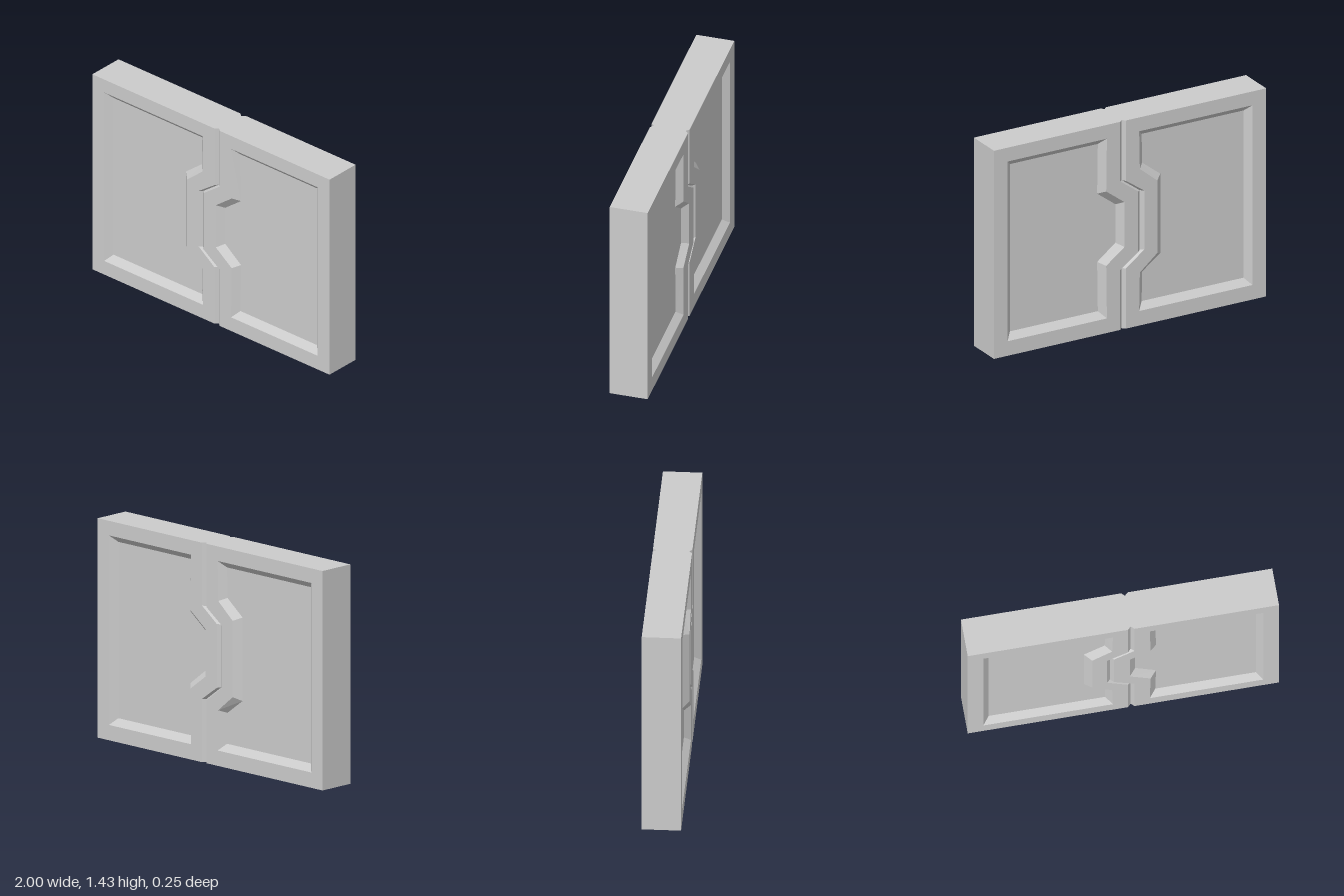
import * as THREE from 'three';

const H = 1.43;           // door height
const FACE = 0.125;       // half thickness
const FLOOR = 0.083;      // depth plane of the sunken panels
const GROOVE = 0.105;     // bottom of the V groove at the seam

// Zigzag edges, listed from top to bottom
const seam = [[0.05, H], [0.05, 1.018], [-0.083, 0.92], [-0.083, 0.512], [0.05, 0.413], [0.05, 0]];
const leaves = [
  {
    name: 'rightLeaf', side: -1,
    lip: [[0.03, H], [0.03, 1.015], [-0.105, 0.92], [-0.105, 0.515], [0.03, 0.413], [0.03, 0]],
    rim: [[-0.067, 1.335], [-0.072, 1.075], [-0.2, 0.968], [-0.2, 0.47], [-0.072, 0.363], [-0.067, 0.1]],
    floor: [[-0.11, 1.293], [-0.113, 1.095], [-0.247, 0.99], [-0.247, 0.446], [-0.113, 0.346], [-0.11, 0.144]],
  },
  {
    name: 'leftLeaf', side: 1,
    lip: [[0.072, H], [0.072, 1.02], [-0.06, 0.923], [-0.06, 0.507], [0.072, 0.413], [0.072, 0]],
    rim: [[0.17, 1.335], [0.175, 0.973], [0.041, 0.872], [0.041, 0.563], [0.175, 0.462], [0.17, 0.1]],
    floor: [[0.212, 1.293], [0.217, 0.952], [0.083, 0.851], [0.083, 0.587], [0.217, 0.483], [0.212, 0.144]],
  },
];

function buildLeaf({ name, side, lip, rim, floor }) {
  const positions = [];

  // Each triangle is added on the front and mirrored to the back
  const tri = (a, b, c) => {
    positions.push(...a, ...b, ...c);
    for (const [x, y, z] of [a, c, b]) positions.push(x, y, -z);
  };

  // Close a zigzag edge with the two corners on the hinge side, counter-clockwise
  const ring = (edge, x, bottom, top, z) => {
    const pts = [...edge, [side * x, bottom], [side * x, top]];
    if (side < 0) pts.reverse();
    return pts.map(([px, py]) => [px, py, z]);
  };

  // Band of quads between two matching rings
  const band = (a, b, keep = () => true) => a.forEach((p, i) => {
    const j = (i + 1) % a.length;
    if (!keep(a[i], a[j])) return;
    tri(p, b[i], a[j]);
    tri(a[j], b[i], b[j]);
  });

  // Flat face, optionally with a hole
  const cap = (outer, hole) => {
    const flat = (pts) => pts.map(([x, y]) => new THREE.Vector2(x, y));
    const all = hole ? [...outer, ...hole] : outer;
    const faces = THREE.ShapeUtils.triangulateShape(flat(outer), hole ? [flat(hole)] : []);
    for (const [a, b, c] of faces) tri(all[a], all[b], all[c]);
  };

  const outline = ring(lip, 1, 0, H, FACE);
  const grooveRing = ring(seam, 1, 0, H, GROOVE);
  const middle = ring(seam, 1, 0, H, 0);
  const rimRing = ring(rim, 0.9, 0.1, 1.335, FACE);
  const floorRing = ring(floor, 0.858, 0.144, 1.293, FLOOR);

  cap(outline, rimRing);          // raised frame
  band(floorRing, rimRing);       // sloped panel border
  cap(floorRing);                 // sunken panel
  band(outline, grooveRing);      // groove slope and rim of the outer walls
  // Outer walls; the leaves are joined at the seam
  const isOuter = (p) => Math.abs(p[0]) > 0.99;
  band(grooveRing, middle, (p, q) => isOuter(p) || isOuter(q));

  const geometry = new THREE.BufferGeometry();
  geometry.setAttribute('position', new THREE.Float32BufferAttribute(positions, 3));
  geometry.computeVertexNormals();
  const mesh = new THREE.Mesh(geometry, new THREE.MeshStandardMaterial({ color: 0xcccccc, flatShading: true }));
  mesh.name = name;
  return mesh;
}

export function createModel() {
  const group = new THREE.Group();
  group.name = 'doubleDoor';
  for (const leaf of leaves) group.add(buildLeaf(leaf));
  return group;
}
